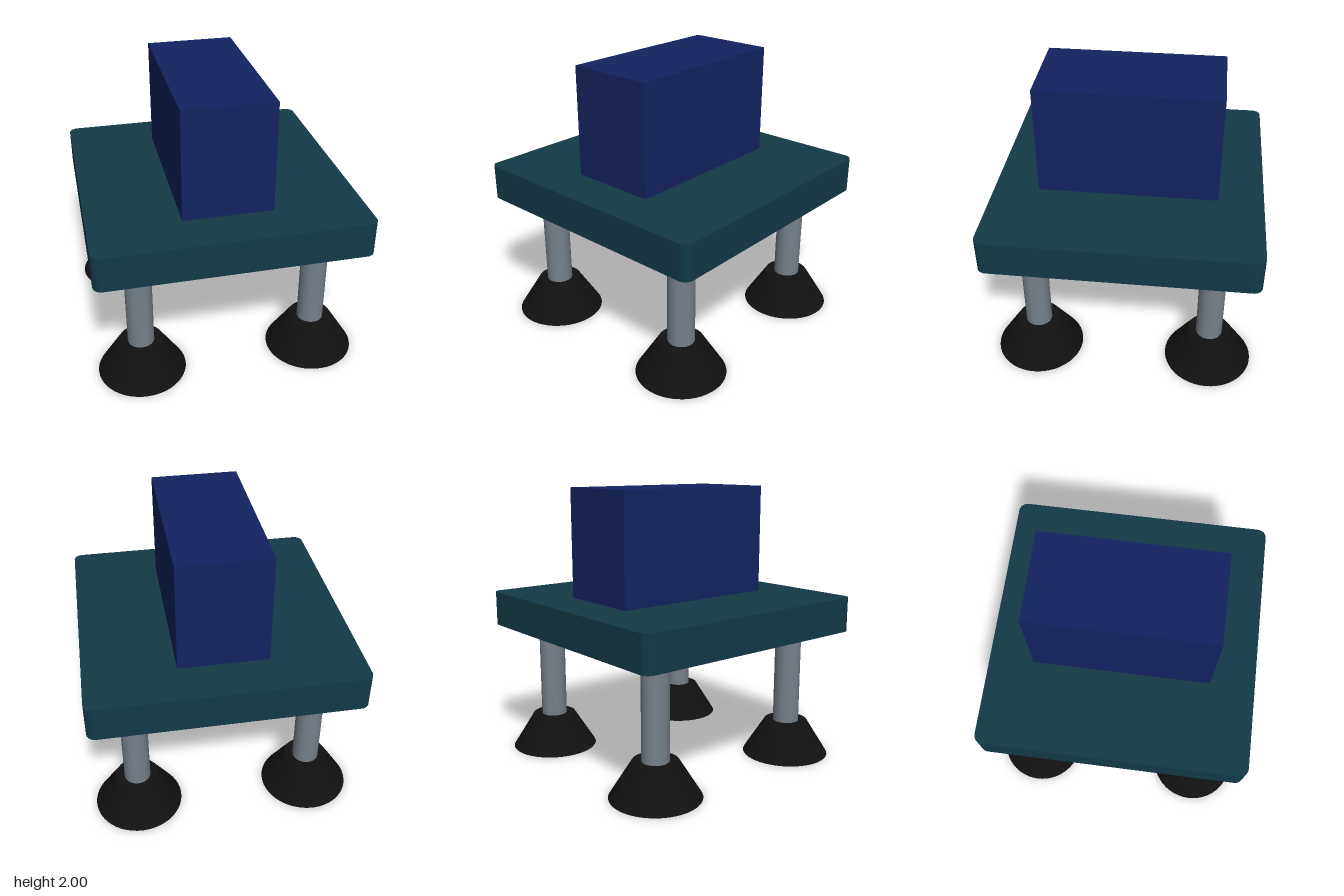
import * as THREE from 'three';

const TOP = 1.208, UNDER = 0.954, HALF = 0.9525, FOOT_H = 0.254, LEG_POS = 0.635;

function addMesh(parent, name, geometry, material, x = 0, y = 0, z = 0) {
  const mesh = new THREE.Mesh(geometry, material);
  mesh.name = name;
  mesh.position.set(x, y, z);
  parent.add(mesh);
  return mesh;
}

// Square outline with rounded corners
function roundedSquare(h, r) {
  const s = new THREE.Shape();
  s.absarc(h - r, h - r, r, 0, Math.PI / 2);
  s.absarc(-h + r, h - r, r, Math.PI / 2, Math.PI);
  s.absarc(-h + r, -h + r, r, Math.PI, Math.PI * 1.5);
  s.absarc(h - r, -h + r, r, Math.PI * 1.5, Math.PI * 2);
  s.closePath();
  return s;
}

export function createModel() {
  const group = new THREE.Group();
  group.name = 'platform';
  const teal = new THREE.MeshStandardMaterial({ color: 0x123a47 });
  const blue = new THREE.MeshStandardMaterial({ color: 0x132360 });
  const steel = new THREE.MeshStandardMaterial({ color: 0x76808a });
  const black = new THREE.MeshStandardMaterial({ color: 0x111111 });

  // Flat plate with upright rounded corners
  const plate = new THREE.ExtrudeGeometry(roundedSquare(HALF, 0.064), {
    depth: TOP - UNDER, bevelEnabled: false, curveSegments: 10,
  });
  plate.rotateX(-Math.PI / 2);
  addMesh(group, 'plate', plate, teal, 0, UNDER, 0);

  // Block standing on the plate
  addMesh(group, 'block', new THREE.BoxGeometry(0.635, 2 - TOP, 1.27), blue, 0, (2 + TOP) / 2, 0);

  // Four round legs on conical feet
  const legGeometry = new THREE.CylinderGeometry(0.095, 0.095, UNDER - FOOT_H, 48);
  const footGeometry = new THREE.CylinderGeometry(0.159, 0.3175, FOOT_H, 48);
  for (const sx of [-1, 1]) {
    for (const sz of [-1, 1]) {
      const name = (sz > 0 ? 'front' : 'back') + (sx > 0 ? 'Left' : 'Right');
      const x = sx * LEG_POS, z = sz * LEG_POS;
      addMesh(group, name + 'Leg', legGeometry, steel, x, (UNDER + FOOT_H) / 2, z);
      addMesh(group, name + 'Foot', footGeometry, black, x, FOOT_H / 2, z);
    }
  }
  return group;
}
